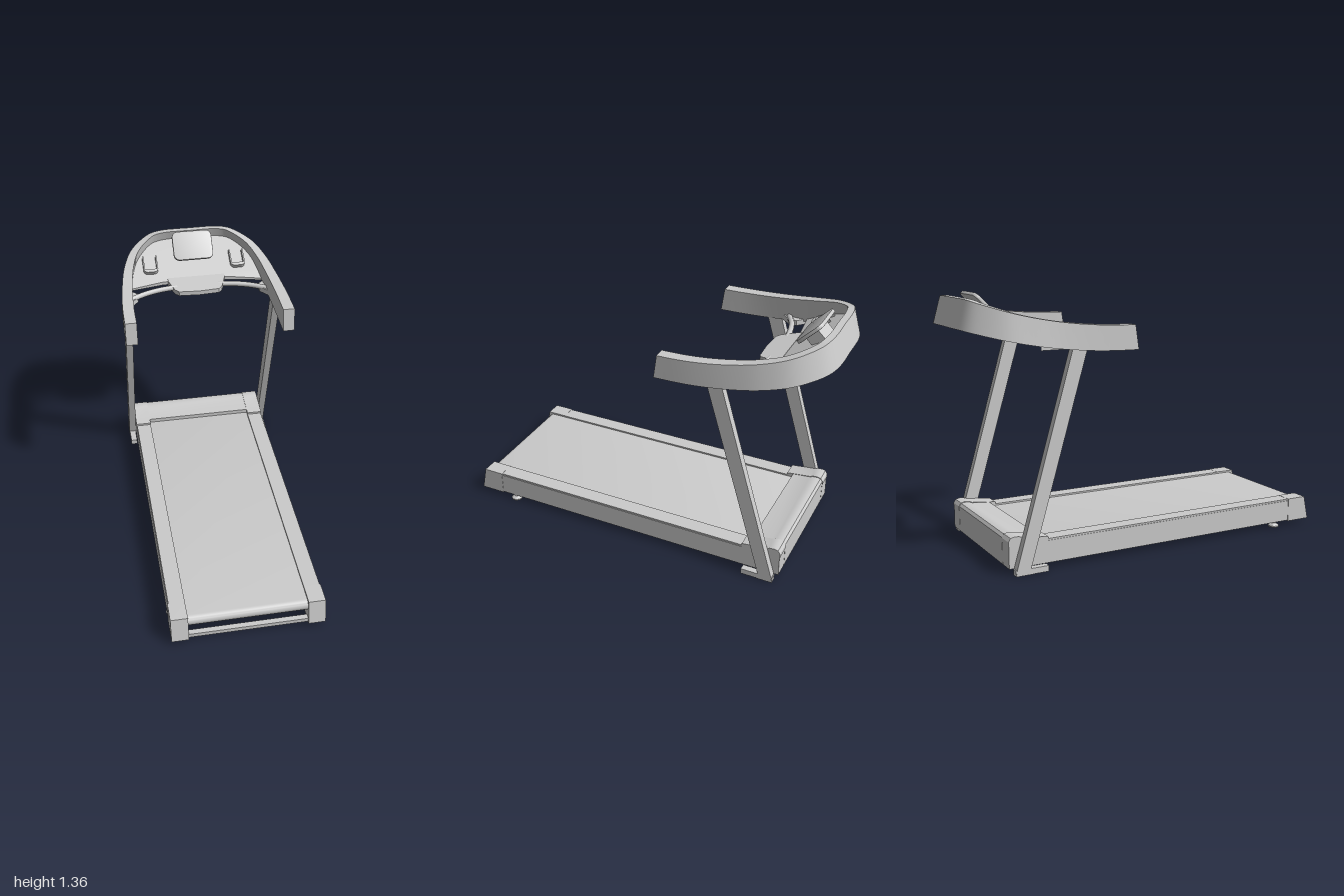
import * as THREE from 'three';
import { toCreasedNormals } from 'three/addons/utils/BufferGeometryUtils.js';

const grey = new THREE.MeshStandardMaterial({ color: 0xcccccc });

function add(group, name, geometry) {
  const mesh = new THREE.Mesh(geometry, grey);
  mesh.name = name;
  group.add(mesh);
  return mesh;
}

const shapeOf = (pts) => new THREE.Shape(pts.map(([a, b]) => new THREE.Vector2(a, b)));

// Extrude a [z, y] side profile between x0 and x1
function sideExtrude(pts, x0, x1) {
  const g = new THREE.ExtrudeGeometry(shapeOf(pts), { depth: x1 - x0, bevelEnabled: false });
  return toCreasedNormals(g.rotateY(-Math.PI / 2).translate(x1, 0, 0), 0.5);
}

// Extrude an [x, z] plan outline between two height rules of z
function planExtrude(pts, low, high) {
  const shape = shapeOf(pts.map(([x, z]) => [x, -z]));
  const g = new THREE.ExtrudeGeometry(shape, { depth: 1, bevelEnabled: false }).rotateX(-Math.PI / 2);
  const p = g.attributes.position;
  for (let i = 0; i < p.count; i++) p.setY(i, (p.getY(i) > 0.5 ? high : low)(p.getZ(i)));
  return toCreasedNormals(g, 0.5);
}

function box(x0, x1, y0, y1, z0, z1) {
  return new THREE.BoxGeometry(x1 - x0, y1 - y0, z1 - z0)
    .translate((x0 + x1) / 2, (y0 + y1) / 2, (z0 + z1) / 2);
}

function roundedRect(w, h, r) {
  const s = new THREE.Shape(), x = w / 2, y = h / 2;
  s.absarc(x - r, y - r, r, 0, Math.PI / 2);
  s.absarc(-x + r, y - r, r, Math.PI / 2, Math.PI);
  s.absarc(-x + r, -y + r, r, Math.PI, Math.PI * 1.5);
  s.absarc(x - r, -y + r, r, Math.PI * 1.5, Math.PI * 2);
  return s;
}

// Plan of the console band's outer lower edge, one half
const bandHalf = [[0.46, -0.155], [0.458, -0.35], [0.445, -0.55], [0.425, -0.7],
  [0.385, -0.83], [0.32, -0.92], [0.25, -0.975], [0.16, -0.998], [0, -1]];
const bandPts = [...bandHalf, ...bandHalf.slice(0, -1).reverse().map(([x, z]) => [-x, z])];

// Band with a four-cornered section that rises, thins and leans toward the back
function bandGeometry() {
  const curve = new THREE.CatmullRomCurve3(bandPts.map(([x, z]) => new THREE.Vector3(x, 0, z)));
  const n = 96, pos = [], idx = [];
  for (let i = 0; i <= n; i++) {
    const p = curve.getPoint(i / n), t = curve.getTangent(i / n);
    const nx = t.z, nz = -t.x; // inward normal
    const u = Math.min(1, Math.max(0, (-p.z - 0.155) / 0.845));
    const yb = 1.075 + 0.115 * u ** 2.2, yt = 1.2 + 0.133 * u ** 2.2;
    const thick = 0.063 - 0.028 * u * u, lean = 0.04 * u * u;
    const slant = i === 0 || i === n ? -0.018 : 0;
    for (const [d, y, s] of [[0, yb, 0], [lean, yt, slant], [lean + thick, yt, slant], [thick, yb, 0]]) {
      pos.push(p.x + nx * d, y, p.z + nz * d + s);
    }
    if (i < n) for (let k = 0; k < 4; k++) {
      const a = i * 4 + k, b = i * 4 + (k + 1) % 4;
      idx.push(a, a + 4, b, b, a + 4, b + 4);
    }
  }
  const e = n * 4;
  idx.push(0, 1, 2, 0, 2, 3, e, e + 2, e + 1, e, e + 3, e + 2);
  const g = new THREE.BufferGeometry();
  g.setAttribute('position', new THREE.Float32BufferAttribute(pos, 3));
  g.setIndex(idx);
  return toCreasedNormals(g, 0.6);
}

export function createModel() {
  const model = new THREE.Group();
  model.name = 'treadmill';

  // Running belt looped round the two rollers
  const belt = [], r = 0.032;
  for (const [zc, start] of [[0.938, -Math.PI / 2], [-0.72, Math.PI / 2]]) {
    for (let i = 0; i <= 16; i++) {
      const a = start + (i / 16) * Math.PI;
      belt.push([zc + r * Math.cos(a), 0.113 + r * Math.sin(a)]);
    }
  }
  add(model, 'runningBelt', sideExtrude(belt, -0.312, 0.312));
  add(model, 'rearCrossBar', box(-0.32, 0.32, 0.025, 0.048, 0.955, 0.985));

  // Motor hood with a raised back ridge and a back wall, set back between its side covers
  add(model, 'motorHood', sideExtrude([[-0.67, 0.145], [-0.67, 0.168], [-0.77, 0.178], [-0.79, 0.185],
    [-0.815, 0.187], [-0.833, 0.183], [-0.845, 0.168], [-0.845, 0.03], [-0.825, 0.03], [-0.825, 0.08],
    [-0.69, 0.08], [-0.69, 0.145]], -0.312, 0.312));

  for (const [s, side] of [[1, 'left'], [-1, 'right']]) {
    const span = (a, b) => (s > 0 ? [a, b] : [-b, -a]);

    // Side rails, hood covers, end caps and levelling feet
    add(model, side + 'Rail', box(...span(0.315, 0.4), 0.03, 0.145, -0.845, 0.87));
    add(model, side + 'FootRail', box(...span(0.312, 0.397), 0.145, 0.154, -0.64, 0.87));
    add(model, side + 'HoodCover', sideExtrude([[-0.635, 0.145], [-0.635, 0.166], [-0.77, 0.181], [-0.79, 0.189],
      [-0.815, 0.191], [-0.835, 0.186], [-0.847, 0.168], [-0.847, 0.145]], ...span(0.312, 0.4)));
    add(model, side + 'EndCap', sideExtrude([[0.86, 0.025], [1, 0.025], [0.972, 0.155], [0.86, 0.155]],
      ...span(0.312, 0.402)));
    const foot = new THREE.LatheGeometry([[0, 0], [0.03, 0], [0.03, 0.007], [0.014, 0.02], [0.014, 0.035]]
      .map(([x, y]) => new THREE.Vector2(x, y)), 20);
    add(model, side + 'LevellingFoot', toCreasedNormals(foot, 0.5))
      .position.set(s > 0 ? 0.383 : -0.373, 0, 0.78);

    // Leaning upright on its foot block
    add(model, side + 'Upright', sideExtrude([[-0.737, 0], [-0.825, 0], [-0.82, 0.03], [-0.505, 1.11],
      [-0.425, 1.11], [-0.746, 0.03]], ...span(0.4, 0.44)));
    add(model, side + 'UprightFoot', box(...span(0.402, 0.438), 0, 0.03, -0.825, -0.65));

    // Curved grip bar from the centre pod to a mount on the arm
    const grip = new THREE.CatmullRomCurve3([[0.12, 1.128, -0.635], [0.22, 1.127, -0.62], [0.31, 1.123, -0.595],
      [0.41, 1.118, -0.545]].map(([x, y, z]) => new THREE.Vector3(s * x, y, z)));
    add(model, side + 'GripBar', new THREE.TubeGeometry(grip, 20, 0.015, 10));
    add(model, side + 'GripMount', planExtrude([[0.405, -0.5], [0.35, -0.57], [0.35, -0.61], [0.405, -0.66]]
      .map(([x, z]) => [s * x, z]), () => 1.092, () => 1.122));

    // U-shaped holder lying on the sloped panel
    const holder = new THREE.Group();
    holder.name = side + 'Holder';
    const u = new THREE.Shape();
    u.moveTo(-0.042, 0.055);
    u.lineTo(-0.042, -0.03);
    u.absarc(-0.017, -0.03, 0.025, Math.PI, Math.PI * 1.5);
    u.absarc(0.017, -0.03, 0.025, Math.PI * 1.5, Math.PI * 2);
    u.lineTo(0.042, 0.055);
    u.lineTo(0.034, 0.055);
    u.lineTo(0.034, -0.035);
    u.lineTo(-0.034, -0.035);
    u.lineTo(-0.034, 0.055);
    add(holder, 'holderRim', new THREE.ExtrudeGeometry(u, { depth: 0.028, bevelEnabled: false }));
    holder.position.set(s * 0.254, 1.193, -0.783);
    holder.rotation.x = -1.077;
    model.add(holder);
  }

  // Console band and the sloped panel that fills its back
  add(model, 'consoleBand', bandGeometry());
  const edge = [[0.39, -0.655], [0.39, -0.71], [0.355, -0.82], [0.295, -0.9], [0.235, -0.945], [0.16, -0.965]];
  const mirrored = edge.map(([x, z]) => [-x, z]).reverse();
  const frontEdge = [[-0.2, -0.682], [0, -0.69], [0.2, -0.682]];
  add(model, 'consolePanel', planExtrude([...edge, ...mirrored, ...frontEdge],
    (z) => 1.112 + (-z - 0.64) * 0.23, (z) => 1.14 + (-z - 0.68) * 0.54));

  // Centre control pod
  add(model, 'controlPod', planExtrude([[0.165, -0.7], [0.165, -0.675], [0.135, -0.595], [0.115, -0.577], [0, -0.57],
    [-0.115, -0.577], [-0.135, -0.595], [-0.165, -0.675], [-0.165, -0.7]],
  (z) => 1.103 + (-z - 0.57) * 0.1, (z) => 1.128 + (-z - 0.57) * 0.2));

  // Tilted screen on a short stand
  const screen = new THREE.Group();
  screen.name = 'screen';
  add(screen, 'screenBody', toCreasedNormals(new THREE.ExtrudeGeometry(roundedRect(0.222, 0.162, 0.03),
    { depth: 0.012, bevelThickness: 0.004, bevelSize: 0.004, bevelSegments: 2, curveSegments: 8 }), 0.5));
  add(screen, 'screenStand', box(-0.062, 0.062, -0.05, 0.03, -0.07, 0));
  screen.position.set(0, 1.287, -0.82);
  screen.rotation.x = -Math.PI / 4;
  model.add(screen);

  return model;
}
